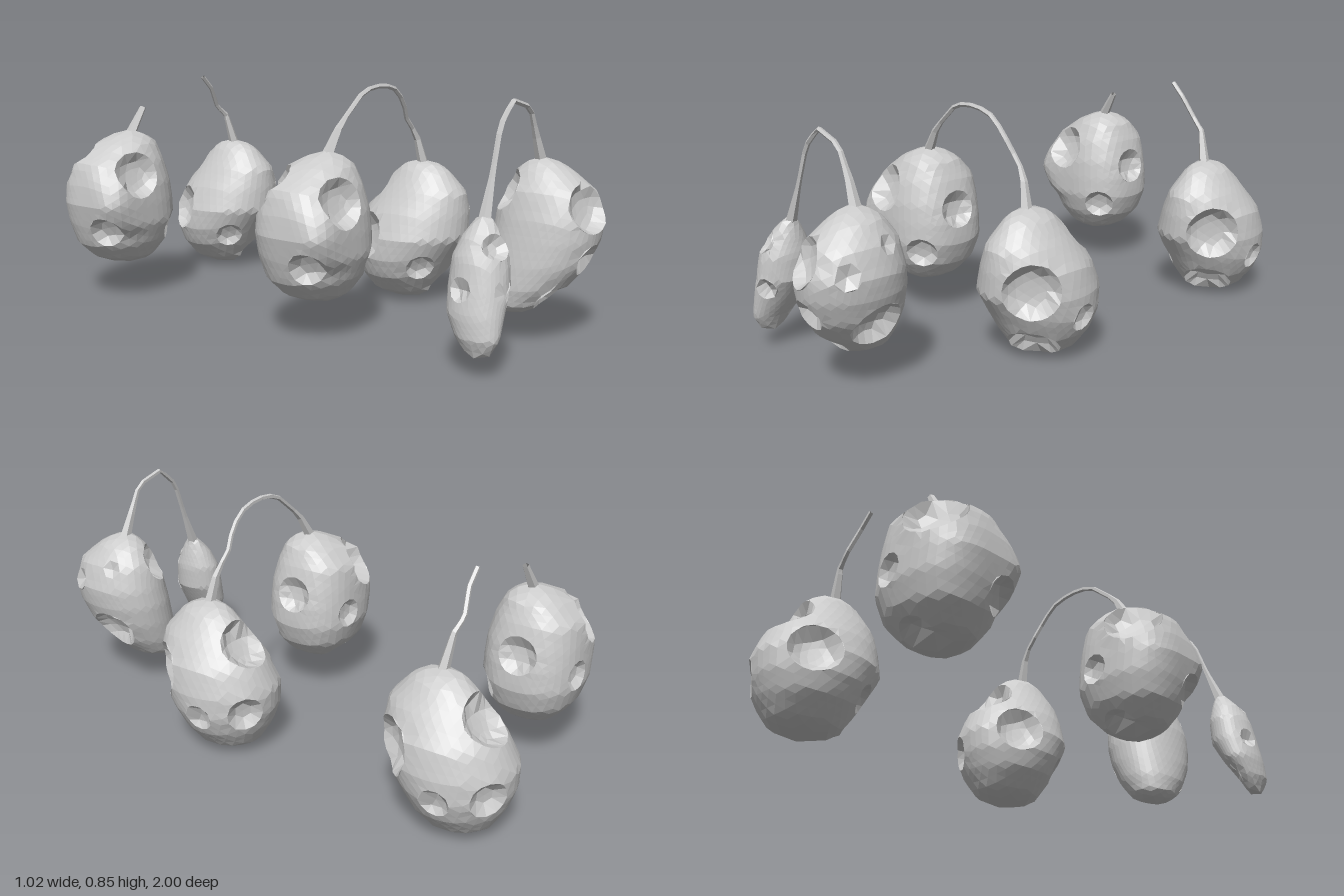
import * as THREE from 'three';
import { mergeVertices } from 'three/addons/utils/BufferGeometryUtils.js';

const material = new THREE.MeshStandardMaterial({ color: 0xcccccc, flatShading: true, side: THREE.DoubleSide });
const V = (x, y, z) => new THREE.Vector3(x, y, z);

// Press one round hollow into a body: snap nearby vertices to its rim, sink those inside
function pressHollow(geo, [x, y, z, r]) {
  geo.computeVertexNormals();
  const pos = geo.attributes.position, target = V(x, y, z), p = V();
  let best = 0, bestD = Infinity;
  for (let i = 0; i < pos.count; i++) {
    const d = p.fromBufferAttribute(pos, i).distanceTo(target);
    if (d < bestD) { bestD = d; best = i; }
  }
  // average normal over the hollow's area
  const n = V(), c = V().fromBufferAttribute(pos, best);
  for (let i = 0; i < pos.count; i++) {
    if (p.fromBufferAttribute(pos, i).distanceTo(c) < r) n.add(V().fromBufferAttribute(geo.attributes.normal, i));
  }
  n.normalize();
  const band = Math.max(0.2 * r, Math.min(0.017, 0.45 * r));
  const inside = [];
  let rimSum = 0, rimCount = 0;
  for (let i = 0; i < pos.count; i++) {
    const q = p.fromBufferAttribute(pos, i).clone().sub(c);
    const h = q.dot(n), t = q.addScaledVector(n, -h), d = t.length();
    if (h < -1.2 * r || d > r + band) continue;
    if (d < r - band) { inside.push([i, t, d, h]); continue; }
    const rimH = h * Math.min(1.3, (r / d) ** 2);
    rimSum += rimH; rimCount++;
    p.copy(c).addScaledVector(t, r / d).addScaledVector(n, rimH);
    pos.setXYZ(i, p.x, p.y, p.z);
  }
  const rim = rimCount ? rimSum / rimCount : 0;
  for (const [i, t, d, h] of inside) {
    const k = d / r;
    const floor = Math.min(rim - 0.4 * r * (1 - k ** 4), h - 0.25 * r * (1 - k * k));
    p.copy(c).add(t).addScaledVector(n, floor);
    pos.setXYZ(i, p.x, p.y, p.z);
  }
}

// Body from rows [y, xMin, xMax, zMin, zMax], top to bottom; power squares off the section
function makeBody(name, { rows, hollows, detail, power }) {
  let geo = new THREE.IcosahedronGeometry(1, detail);
  geo.deleteAttribute('normal');
  geo.deleteAttribute('uv');
  geo = mergeVertices(geo, 1e-4);
  const pos = geo.attributes.position;
  for (let i = 0; i < pos.count; i++) {
    const v = V().fromBufferAttribute(pos, i);
    const f = Math.acos(THREE.MathUtils.clamp(v.y, -1, 1)) / Math.PI * (rows.length - 1);
    const k = Math.min(Math.floor(f), rows.length - 2);
    const [y, x0, x1, z0, z1] = rows[k].map((a, j) => THREE.MathUtils.lerp(a, rows[k + 1][j], f - k));
    const e = power(v);
    const len = (Math.abs(v.x) ** e + Math.abs(v.z) ** e) ** (1 / e) || 1;
    pos.setXYZ(i, (x0 + x1) / 2 + (x1 - x0) / 2 * v.x / len, y, (z0 + z1) / 2 + (z1 - z0) / 2 * v.z / len);
  }
  hollows.forEach(h => pressHollow(geo, h));
  geo.computeVertexNormals();
  const mesh = new THREE.Mesh(geo, material);
  mesh.name = name;
  return mesh;
}

// Thin bent stalk that flares where it meets a body
function makeStem(name, points, flareStart, flareEnd) {
  const path = new THREE.CurvePath();
  const pts = points.map(p => V(...p));
  for (let i = 1; i < pts.length; i++) path.add(new THREE.LineCurve3(pts[i - 1], pts[i]));
  const segs = 16, sides = 5, L = path.getLength();
  const geo = new THREE.TubeGeometry(path, segs, 0.009, sides);
  const pos = geo.attributes.position;
  const flare = (on, d) => on ? 1.4 * Math.max(0, 1 - d / 0.16) : 0;
  for (let i = 0; i <= segs; i++) {
    const u = i / segs, c = path.getPointAt(u);
    const s = 1 + flare(flareStart, u * L) + flare(flareEnd, (1 - u) * L);
    for (let j = 0; j <= sides; j++) {
      const k = i * (sides + 1) + j;
      const p = V().fromBufferAttribute(pos, k).sub(c).multiplyScalar(s).add(c);
      pos.setXYZ(k, p.x, p.y, p.z);
    }
  }
  const mesh = new THREE.Mesh(geo, material);
  mesh.name = name;
  return mesh;
}

const broad = {
  detail: 7,
  // the front outer corner bulges at mid height
  power: v => v.x < 0 && v.z > 0 ? 2 + 4 * Math.max(0, 1 - Math.abs(v.y - 0.05) / 0.6) : 2.5,
  rows: [
    [0.645, -0.28, -0.24, 0.15, 0.21], [0.60, -0.38, -0.17, 0.07, 0.27], [0.53, -0.485, -0.14, 0.0, 0.31],
    [0.45, -0.505, -0.12, -0.01, 0.33], [0.38, -0.512, -0.11, -0.015, 0.335], [0.30, -0.495, -0.108, -0.015, 0.335],
    [0.22, -0.47, -0.135, 0.01, 0.31], [0.16, -0.41, -0.19, 0.06, 0.27], [0.13, -0.33, -0.25, 0.12, 0.22],
  ],
  hollows: [
    [-0.345, 0.49, 0.32, 0.09], [-0.39, 0.52, 0.03, 0.105], [-0.11, 0.43, 0.16, 0.07], [-0.175, 0.285, 0.29, 0.06],
    [-0.48, 0.27, 0.25, 0.065], [-0.26, 0.34, -0.01, 0.056], [-0.29, 0.14, 0.07, 0.063],
  ],
};
const pear = {
  detail: 7,
  power: () => 2,
  rows: [
    [0.545, 0.285, 0.33, 0.17, 0.25], [0.51, 0.25, 0.385, 0.11, 0.31], [0.43, 0.20, 0.445, 0.04, 0.38],
    [0.35, 0.155, 0.495, -0.02, 0.39], [0.26, 0.12, 0.51, -0.06, 0.39], [0.18, 0.12, 0.505, -0.055, 0.34],
    [0.11, 0.145, 0.475, -0.03, 0.30], [0.04, 0.21, 0.42, 0.01, 0.26], [0.002, 0.29, 0.34, 0.1, 0.2],
  ],
  hollows: [
    [0.45, 0.30, 0.31, 0.1], [0.50, 0.19, 0.13, 0.052], [0.42, 0.20, -0.01, 0.066], [0.315, 0.43, 0.03, 0.092],
    [0.375, 0.06, 0.22, 0.092], [0.20, 0.16, 0.29, 0.055], [0.15, 0.26, 0.06, 0.092],
  ],
};
const oval = {
  detail: 7,
  power: () => 2.1,
  rows: [
    [0.63, 0.11, 0.155, 0.76, 0.81], [0.59, 0.07, 0.22, 0.70, 0.88], [0.52, 0.02, 0.27, 0.65, 0.97],
    [0.43, -0.005, 0.295, 0.63, 1.0], [0.36, -0.015, 0.285, 0.62, 0.99], [0.28, -0.025, 0.26, 0.62, 0.96],
    [0.20, -0.03, 0.21, 0.625, 0.90], [0.135, -0.02, 0.15, 0.64, 0.83], [0.10, 0.02, 0.07, 0.69, 0.76],
  ],
  hollows: [
    [0.10, 0.48, 0.98, 0.085], [0.125, 0.30, 0.97, 0.06], [0.27, 0.44, 0.90, 0.045], [0.06, 0.15, 0.85, 0.067],
    [0.26, 0.525, 0.745, 0.036], [0.23, 0.25, 0.78, 0.092], [0.06, 0.53, 0.67, 0.077],
  ],
};
const slim = {
  detail: 6,
  power: () => 2,
  rows: [
    [0.505, -0.265, -0.24, 0.765, 0.795], [0.43, -0.335, -0.225, 0.72, 0.85], [0.37, -0.365, -0.215, 0.695, 0.88],
    [0.28, -0.385, -0.22, 0.69, 0.89], [0.20, -0.40, -0.265, 0.70, 0.89], [0.13, -0.40, -0.31, 0.74, 0.89],
    [0.06, -0.375, -0.345, 0.79, 0.85],
  ],
  hollows: [[-0.31, 0.42, 0.86, 0.045], [-0.29, 0.255, 0.88, 0.04], [-0.39, 0.29, 0.76, 0.04], [-0.32, 0.13, 0.76, 0.03]],
};

export function createModel() {
  const model = new THREE.Group();
  model.name = 'hangingFruit';

  // Front pair
  model.add(makeBody('frontOvalFruit', oval), makeBody('frontSlimFruit', slim));
  model.add(makeStem('frontStem', [
    [-0.26, 0.47, 0.78], [-0.205, 0.61, 0.775], [-0.15, 0.76, 0.77], [-0.07, 0.832, 0.77],
    [0.05, 0.80, 0.775], [0.10, 0.70, 0.775], [0.137, 0.61, 0.78],
  ], true, true));

  // Middle pair, and the same bodies again at the back
  for (const [prefix, dz] of [['middle', 0], ['back', -0.94]]) {
    const bodies = [makeBody(prefix + 'BroadFruit', broad), makeBody(prefix + 'PearFruit', pear)];
    bodies.forEach(b => { b.position.z = dz; });
    model.add(...bodies);
  }
  const rise = [[-0.265, 0.62, 0.18], [-0.20, 0.725, 0.19]];
  const fall = [[0.13, 0.82, 0.205], [0.18, 0.77, 0.205], [0.23, 0.69, 0.19], [0.275, 0.65, 0.20], [0.31, 0.52, 0.215]];
  model.add(makeStem('middleStem', [...rise, [-0.07, 0.833, 0.20], [0.04, 0.845, 0.205], ...fall], true, true));

  // Broken stalks of the back pair
  const back = pts => pts.map(([x, y, z]) => [x, y, z - 0.94]);
  model.add(makeStem('backBroadStem', back(rise), true, false));
  model.add(makeStem('backPearStem', back(fall), false, true));
  return model;
}
